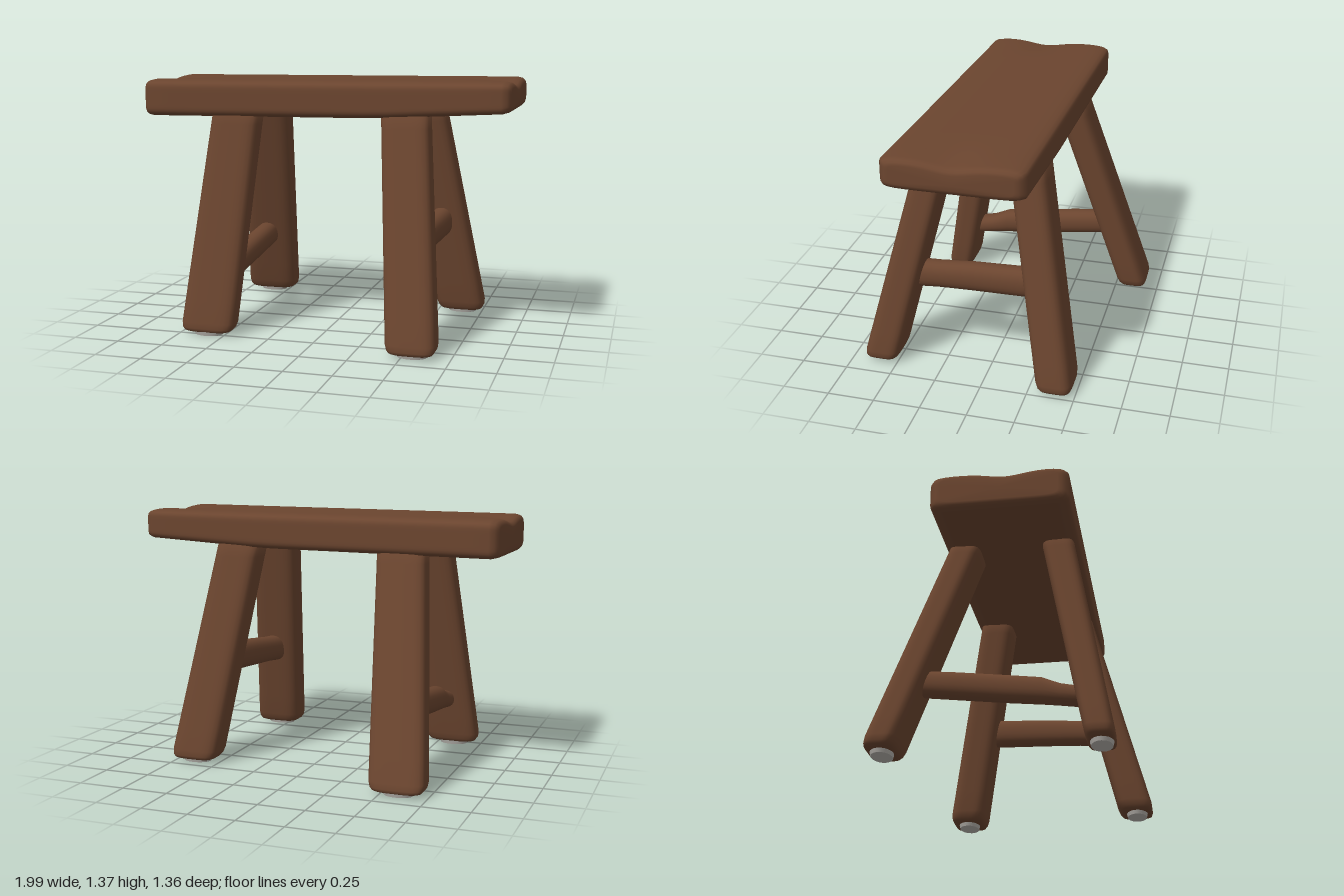
import * as THREE from 'three';

const lerp = THREE.MathUtils.lerp;

// Skin rounded-rectangle sections { p: centre, a, b: half sizes, twist } lying in the u/v plane.
function loft(sections, u, v, power, sides, warp) {
  const pos = [], idx = [];
  const add = (q) => { if (warp) warp(q); pos.push(q.x, q.y, q.z); };
  for (const { p, a, b, twist = 0 } of sections) {
    for (let i = 0; i < sides; i++) {
      const t = (i / sides) * Math.PI * 2, c = Math.cos(t), s = Math.sin(t);
      const r = Math.pow(Math.abs(c) ** power + Math.abs(s) ** power, -1 / power);
      const x = a * r * c, y = b * r * s, ct = Math.cos(twist), st = Math.sin(twist);
      add(p.clone().addScaledVector(u, x * ct - y * st).addScaledVector(v, x * st + y * ct));
    }
  }
  const last = sections.length - 1, base = last * sides;
  add(sections[0].p.clone());
  add(sections[last].p.clone());
  const c0 = sections.length * sides, c1 = c0 + 1;
  for (let i = 0; i < sides; i++) {
    const j = (i + 1) % sides;
    for (let k = 0; k < last; k++) {
      const o = k * sides, n = o + sides;
      idx.push(o + i, n + i, o + j, o + j, n + i, n + j);
    }
    idx.push(c0, i, j, c1, base + j, base + i);
  }
  const g = new THREE.BufferGeometry();
  g.setAttribute('position', new THREE.Float32BufferAttribute(pos, 3));
  g.setIndex(idx);
  g.computeVertexNormals();
  return g;
}

const X = new THREE.Vector3(1, 0, 0), Y = new THREE.Vector3(0, 1, 0), Z = new THREE.Vector3(0, 0, 1);

// Thick plank, slightly tapered, with rounded rims and a shallow dip at each end.
function seatGeometry() {
  const rims = [[0, 0.055, 0.03], [0.006, 0.035, 0.016], [0.018, 0.016, 0.006], [0.045, 0, 0]];
  const stations = rims.map(([d, z, y]) => [-1 + d, z, y]);
  for (let i = 1; i < 16; i++) stations.push([lerp(-0.955, 0.945, i / 16), 0, 0]);
  for (const [d, z, y] of [...rims].reverse()) stations.push([0.99 - d, z, y]);
  const sections = stations.map(([x, dz, dy]) => {
    const t = (x + 1) / 2;
    const bottom = x < 0.3 ? lerp(1.155, 1.17, (x + 1) / 1.3) : lerp(1.17, 1.21, (x - 0.3) / 0.69);
    const top = lerp(1.355, 1.37, t);
    const back = lerp(-0.325, -0.302, t), front = lerp(0.383, 0.415, t);
    return {
      p: new THREE.Vector3(x, (top + bottom) / 2, (front + back) / 2),
      a: (front - back) / 2 - dz, b: (top - bottom) / 2 - dy,
    };
  });
  return loft(sections, Z, Y, 8, 72, (q) => {
    const end = THREE.MathUtils.smoothstep(Math.abs(q.x), 0.7, 1);
    if (q.y > 1.27) q.y -= 0.025 * end * Math.exp(-(((q.z - 0.06) / 0.12) ** 2));
  });
}

// Splayed leg between a foot box and a top box, each [xMin, xMax, zMin, zMax].
function legGeometry(foot, top, twist) {
  const y0 = 0.02, y1 = 1.17;
  const rims = [[y0, 0.74], [y0 + 0.006, 0.87], [y0 + 0.02, 0.95], [y0 + 0.05, 1]];
  for (let i = 1; i <= 10; i++) rims.push([lerp(0.07, 1.24, i / 10), 1]);
  const sections = rims.map(([y, s]) => {
    const t = (y - y0) / (y1 - y0);
    const [xa, xb, za, zb] = foot.map((f, i) => lerp(f, top[i], t));
    return {
      p: new THREE.Vector3((xa + xb) / 2, y, (za + zb) / 2),
      a: ((xb - xa) / 2) * s, b: ((zb - za) / 2) * s, twist: twist * (1 - t),
    };
  });
  return loft(sections, X, Z, 4.5, 40);
}

// Round rail along z from stations [z, x, yBottom, yTop].
function railGeometry(stations, halfWidth) {
  const sections = stations.map(([z, x, lo, hi]) => (
    { p: new THREE.Vector3(x, (lo + hi) / 2, z), a: (hi - lo) / 2, b: halfWidth }));
  return loft(sections, Y, X, 2.4, 24);
}

export function createModel() {
  const wood = new THREE.MeshStandardMaterial({ color: 0x6b452f });
  wood.name = 'brownWood';
  const felt = new THREE.MeshStandardMaterial({ color: 0xb4b0aa });
  felt.name = 'paleFelt';

  const model = new THREE.Group();
  model.name = 'bench';
  const add = (name, geometry, material) => {
    const mesh = new THREE.Mesh(geometry, material);
    mesh.name = name;
    model.add(mesh);
    return mesh;
  };

  add('seat', seatGeometry(), wood);

  // Legs with a small pad under each foot
  const legs = [
    ['frontLeftLeg', [0.42, 0.68, 0.495, 0.69], [0.32, 0.57, 0.21, 0.385], 0],
    ['frontRightLeg', [-0.74, -0.445, 0.405, 0.555], [-0.615, -0.355, 0.195, 0.365], 0],
    ['backLeftLeg', [0.505, 0.77, -0.49, -0.295], [0.32, 0.565, -0.29, -0.1], 0],
    ['backRightLeg', [-0.74, -0.445, -0.69, -0.52], [-0.615, -0.355, -0.3, -0.13], 0],
  ];
  for (const [name, foot, top, twist] of legs) {
    add(name, legGeometry(foot, top, twist), wood);
    const pad = add(name + 'Pad', new THREE.CylinderGeometry(1, 0.9, 0.024, 20), felt);
    pad.scale.set(0.085, 1, 0.06);
    pad.position.set((foot[0] + foot[1]) / 2, 0.012, (foot[2] + foot[3]) / 2);
  }

  // Side rails, ordered back to front
  add('leftRail', railGeometry([
    [-0.3, 0.545, 0.475, 0.64], [-0.18, 0.54, 0.47, 0.63], [0.1, 0.52, 0.455, 0.61],
    [0.28, 0.51, 0.445, 0.59], [0.37, 0.505, 0.435, 0.585], [0.44, 0.5, 0.43, 0.585],
  ], 0.06), wood);
  add('rightRail', railGeometry([
    [-0.48, -0.56, 0.335, 0.47], [-0.24, -0.56, 0.305, 0.445], [0, -0.56, 0.275, 0.415],
    [0.19, -0.56, 0.255, 0.39], [0.28, -0.56, 0.245, 0.35], [0.35, -0.56, 0.235, 0.335], [0.43, -0.56, 0.23, 0.34],
  ], 0.06), wood);

  return model;
}
